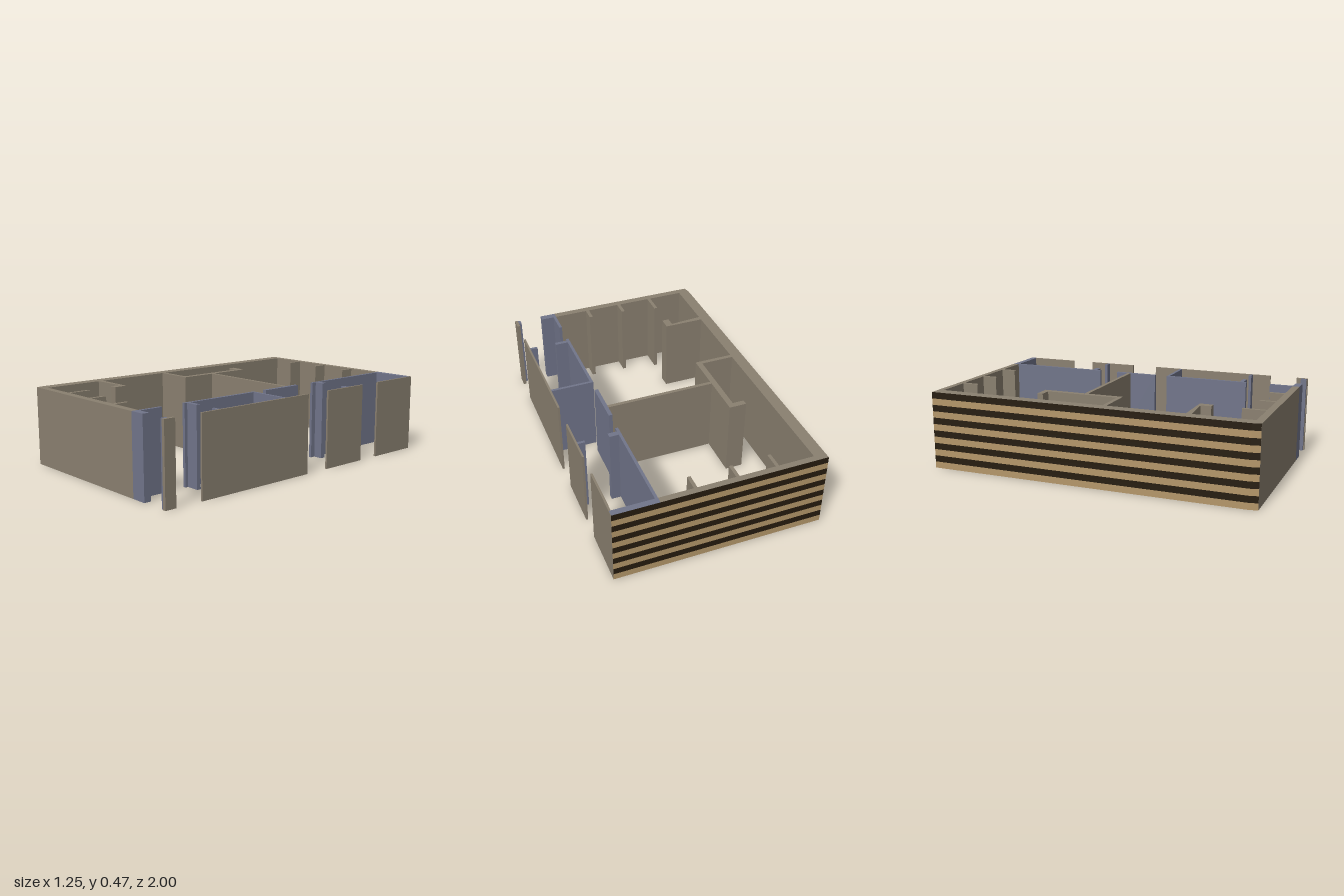
import * as THREE from 'three';

const H = 0.472;      // wall height
const BANDS = 12;     // cladding bands

function mat(name, color) {
  const m = new THREE.MeshStandardMaterial({ color });
  m.name = name;
  return m;
}

export function createModel() {
  const taupe = mat('taupe plaster', 0x8a8070);
  const blue = mat('slate blue plaster', 0x71758a);
  const tan = mat('tan cladding', 0xb5976a);
  const dark = mat('dark cladding', 0x261c0e);

  const model = new THREE.Group();
  model.name = 'floorWalls';

  // Full-height wall between plan corners
  function wall(name, material, x0, x1, z0, z1) {
    const mesh = new THREE.Mesh(new THREE.BoxGeometry(x1 - x0, H, z1 - z0), material);
    mesh.position.set((x0 + x1) / 2, H / 2, (z0 + z1) / 2);
    mesh.name = name;
    model.add(mesh);
  }

  // Full-height wall from a plan outline of [x, z] corners
  function outlineWall(name, material, points) {
    const shape = new THREE.Shape(points.map(([x, z]) => new THREE.Vector2(x, -z)));
    const geo = new THREE.ExtrudeGeometry(shape, { depth: H, bevelEnabled: false });
    geo.rotateX(-Math.PI / 2);
    const mesh = new THREE.Mesh(geo, material);
    mesh.name = name;
    model.add(mesh);
  }

  // Outer shell
  outlineWall('leftOuterWall', taupe,
    [[-0.626, -0.999], [-0.626, 0.95], [-0.615, 1], [-0.555, 1], [-0.555, -0.999]]);
  wall('backWall', taupe, -0.555, 0.357, -0.999, -0.963);
  wall('backWallBlueEnd', blue, 0.357, 0.624, -0.999, -0.963);
  wall('frontWall', taupe, -0.555, 0.35, 0.957, 1);
  wall('frontWallBlueEnd', blue, 0.35, 0.447, 0.957, 1);

  // Piers along the back and front walls
  for (const [x, z] of [[-0.332, -0.863], [-0.098, -0.87], [0.146, -0.87]])
    wall('backPier', taupe, x - 0.01, x + 0.01, -0.963, z);
  for (const [x, z] of [[-0.324, 0.82], [-0.1, 0.86], [0.127, 0.868]])
    wall('frontPier', taupe, x - 0.011, x + 0.011, z, 0.957);

  // Taupe room partitions
  wall('middlePartition', taupe, -0.315, 0.347, -0.14, -0.118);
  wall('closetSide', taupe, -0.35, -0.315, -0.4, 0.105);
  wall('closetReturn', taupe, -0.42, -0.35, -0.4, -0.365);
  wall('closetFront', taupe, -0.555, -0.35, 0.08, 0.105);
  outlineWall('smallPartition', taupe,
    [[-0.555, 0.57], [-0.555, 0.603], [-0.35, 0.588], [-0.35, 0.65], [-0.305, 0.65], [-0.305, 0.57]]);

  // Blue balcony partitions
  wall('rearRoomPartition', blue, 0.357, 0.374, -0.963, -0.34);
  wall('rearRoomStub', blue, 0.374, 0.43, -0.403, -0.37);
  wall('middlePartitionEnd', blue, 0.347, 0.37, -0.215, 0.055);
  wall('balconyDivider', blue, 0.35, 0.613, 0.135, 0.152);
  wall('frontRoomPartition', blue, 0.35, 0.368, 0.152, 0.663);
  wall('frontRoomStub', blue, 0.368, 0.447, 0.62, 0.645);
  wall('frontCornerPartition', blue, 0.35, 0.368, 0.815, 0.957);

  // Thin balcony panels, their stubs and the corner post
  for (const [z0, z1] of [[-0.999, -0.66], [-0.515, -0.205], [-0.038, 0.758]])
    wall('balconyPanel', taupe, 0.613, 0.625, z0, z1);
  wall('rearPanelStub', blue, 0.57, 0.613, -0.398, -0.381);
  wall('frontPanelStub', blue, 0.568, 0.613, 0.625, 0.642);
  wall('cornerPost', taupe, 0.606, 0.625, 0.93, 1);
  wall('cornerPostInner', blue, 0.589, 0.606, 0.96, 0.995);

  // Banded cladding on the back, left side and chamfered front corner
  const path = [[0.625, -1], [-0.627, -1], [-0.627, 0.95], [-0.616, 1]];
  const cladding = new THREE.Group();
  cladding.name = 'bandedCladding';
  const bandH = H / BANDS;
  for (let s = 0; s < path.length - 1; s++) {
    const [x0, z0] = path[s], [x1, z1] = path[s + 1];
    const geo = new THREE.PlaneGeometry(Math.hypot(x1 - x0, z1 - z0), bandH);
    for (let i = 0; i < BANDS; i++) {
      const band = new THREE.Mesh(geo, i % 2 ? dark : tan);
      band.position.set((x0 + x1) / 2, (i + 0.5) * bandH, (z0 + z1) / 2);
      band.rotation.y = Math.atan2(z0 - z1, x1 - x0);
      band.name = i % 2 ? 'darkBand' : 'tanBand';
      cladding.add(band);
    }
  }
  model.add(cladding);
  return model;
}
